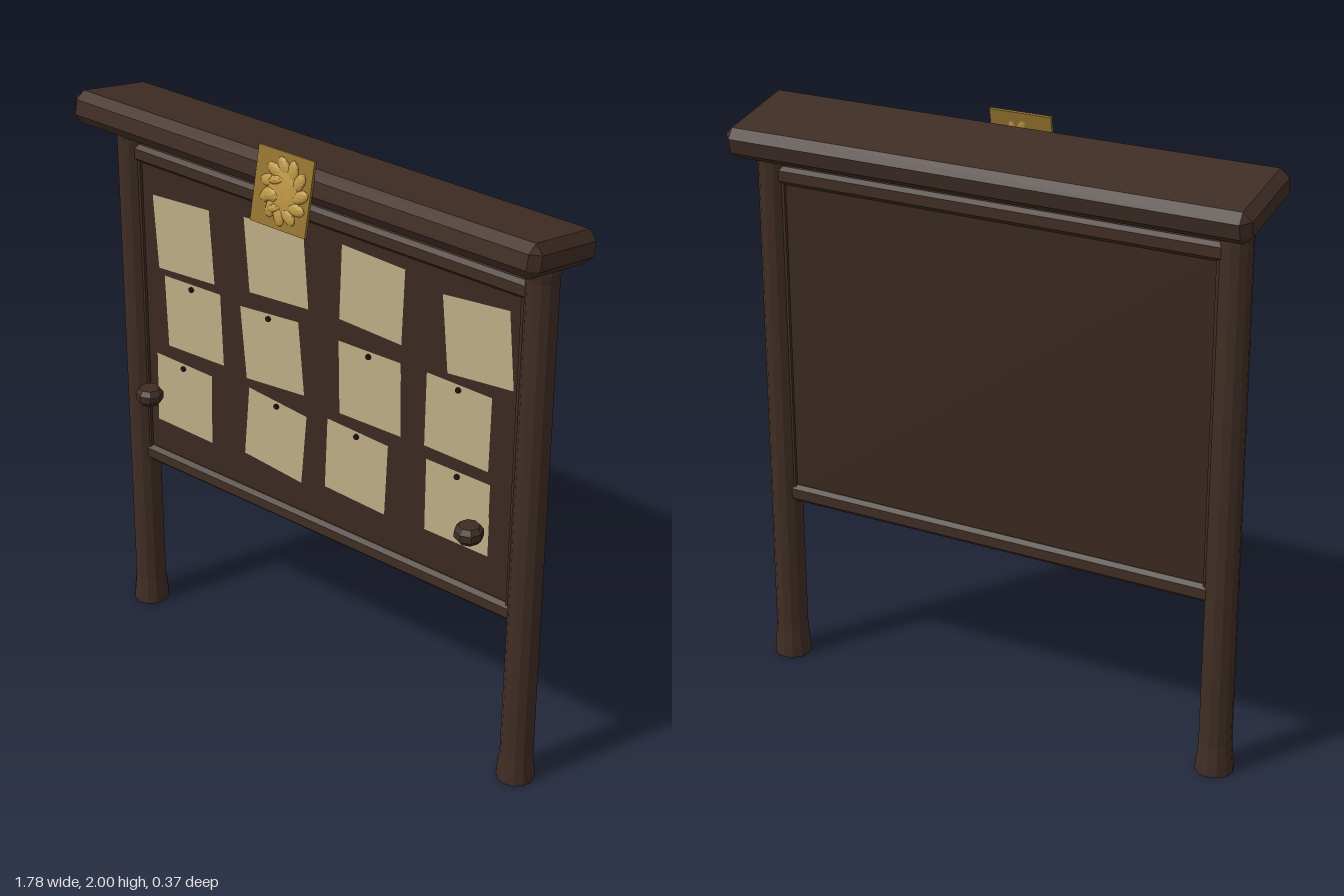
import * as THREE from 'three';
import { ConvexGeometry } from 'three/addons/geometries/ConvexGeometry.js';

const material = (name, color, extra = {}) => {
  const m = new THREE.MeshStandardMaterial({ color, ...extra });
  m.name = name;
  return m;
};

// Box with every edge cut off by c
function chamferBox(w, h, d, c) {
  const x = w / 2, y = h / 2, z = d / 2, points = [];
  for (const sx of [-1, 1]) for (const sy of [-1, 1]) for (const sz of [-1, 1]) {
    points.push(
      new THREE.Vector3(sx * x, sy * (y - c), sz * (z - c)),
      new THREE.Vector3(sx * (x - c), sy * y, sz * (z - c)),
      new THREE.Vector3(sx * (x - c), sy * (y - c), sz * z));
  }
  return new ConvexGeometry(points);
}

const lathe = (pairs, sides) =>
  new THREE.LatheGeometry(pairs.map(([r, y]) => new THREE.Vector2(r, y)), sides);

export function createModel() {
  const group = new THREE.Group();
  group.name = 'noticeBoard';
  const wood = material('dark wood', 0x3f2d24, { flatShading: true });
  const panelWood = material('panel wood', 0x3a2920, { flatShading: true });
  const paper = material('paper', 0xbfae86, { side: THREE.DoubleSide });
  const iron = material('dark iron', 0x1c1613);
  const brass = material('aged brass', 0x94732f);
  const gold = material('gold', 0xbb9543, { flatShading: true });

  const add = (parent, name, geometry, mat, x = 0, y = 0, z = 0) => {
    const mesh = new THREE.Mesh(geometry, mat);
    mesh.name = name;
    mesh.position.set(x, y, z);
    parent.add(mesh);
    return mesh;
  };

  const Z = -0.038; // centre plane of posts and board

  // Posts with flared feet, and knobs in front of the board
  const postGeometry = lathe([[0, 0], [0.063, 0], [0.061, 0.03], [0.054, 0.1], [0.052, 0.9],
    [0.05, 1.78], [0.055, 1.81], [0.055, 1.86], [0, 1.86]], 12);
  const knobGeometry = lathe([[0, -0.028], [0.033, -0.028], [0.046, -0.012], [0.046, 0.012],
    [0.033, 0.028], [0, 0.028]], 8);
  for (const s of [-1, 1]) {
    const side = s > 0 ? 'left' : 'right';
    add(group, side + 'Post', postGeometry, wood, s * 0.798, 0, Z);
    add(group, side + 'Knob', knobGeometry, wood, s * 0.658, 0.923, 0.075);
    add(group, side + 'FrameStrip', new THREE.BoxGeometry(0.025, 1.1, 0.05), wood, s * 0.757, 1.18, Z);
  }

  // Board and its rails
  add(group, 'panel', new THREE.BoxGeometry(1.5, 1.1, 0.03), panelWood, 0, 1.18, Z);
  const railGeometry = chamferBox(1.55, 0.06, 0.062, 0.013);
  add(group, 'topRail', railGeometry, wood, 0, 1.737, Z);
  add(group, 'bottomRail', railGeometry, wood, 0, 0.625, Z);

  // Notices: x, y, tilt, pinned
  const notices = [
    [-0.57, 1.487, 0.065, 0], [-0.18, 1.526, 0.075, 0], [0.20, 1.54, -0.035, 0], [0.598, 1.513, 0.1, 0],
    [-0.534, 1.206, 0.035, 1], [-0.20, 1.21, 0.09, 1], [0.196, 1.214, 0.02, 1], [0.534, 1.22, -0.01, 1],
    [-0.587, 0.897, -0.02, 1], [-0.19, 0.902, -0.09, 1], [0.145, 0.913, -0.04, 1], [0.542, 0.92, 0, 1],
  ];
  const sheet = new THREE.PlaneGeometry(0.245, 0.26);
  const pin = new THREE.CylinderGeometry(0.009, 0.009, 0.008, 8).rotateX(Math.PI / 2);
  for (const [x, y, tilt, pinned] of notices) {
    const notice = new THREE.Group();
    notice.name = 'notice';
    notice.position.set(x, y, Z + 0.019);
    notice.rotation.z = tilt;
    add(notice, 'sheet', sheet, paper);
    if (pinned) add(notice, 'pin', pin, iron, 0, 0.112, 0.005);
    group.add(notice);
  }

  // Sloping roof beam, higher at the front
  const roof = new THREE.Group();
  roof.name = 'roof';
  roof.position.set(0, 1.883, -0.021);
  roof.rotation.x = -0.2;
  add(roof, 'roofBeam', chamferBox(1.78, 0.104, 0.33, 0.028), wood);

  // Plaque on the front of the beam, with an animal head in low relief
  add(roof, 'plaque', new THREE.BoxGeometry(0.212, 0.235, 0.01), brass, 0, -0.034, 0.172);
  const lump = new THREE.IcosahedronGeometry(1, 1);
  const relief = (name, x, y, rx, ry, rz, tilt = 0) => {
    const mesh = add(roof, name, lump, gold, x, y - 0.034, 0.176);
    mesh.scale.set(rx, ry, rz);
    mesh.rotation.z = tilt;
  };
  for (let i = 0; i < 11; i++) {
    const a = (i / 11) * Math.PI * 2;
    relief('maneLock', 0.008 + 0.062 * Math.cos(a), 0.075 * Math.sin(a), 0.034, 0.02, 0.011, a + 0.5);
  }
  relief('head', 0.005, 0.005, 0.062, 0.078, 0.013);
  relief('brow', -0.02, 0.03, 0.036, 0.016, 0.018, 0.3);
  relief('muzzle', -0.032, -0.018, 0.036, 0.024, 0.018);
  relief('jaw', -0.02, -0.056, 0.03, 0.015, 0.015, 0.3);
  group.add(roof);

  return group;
}
